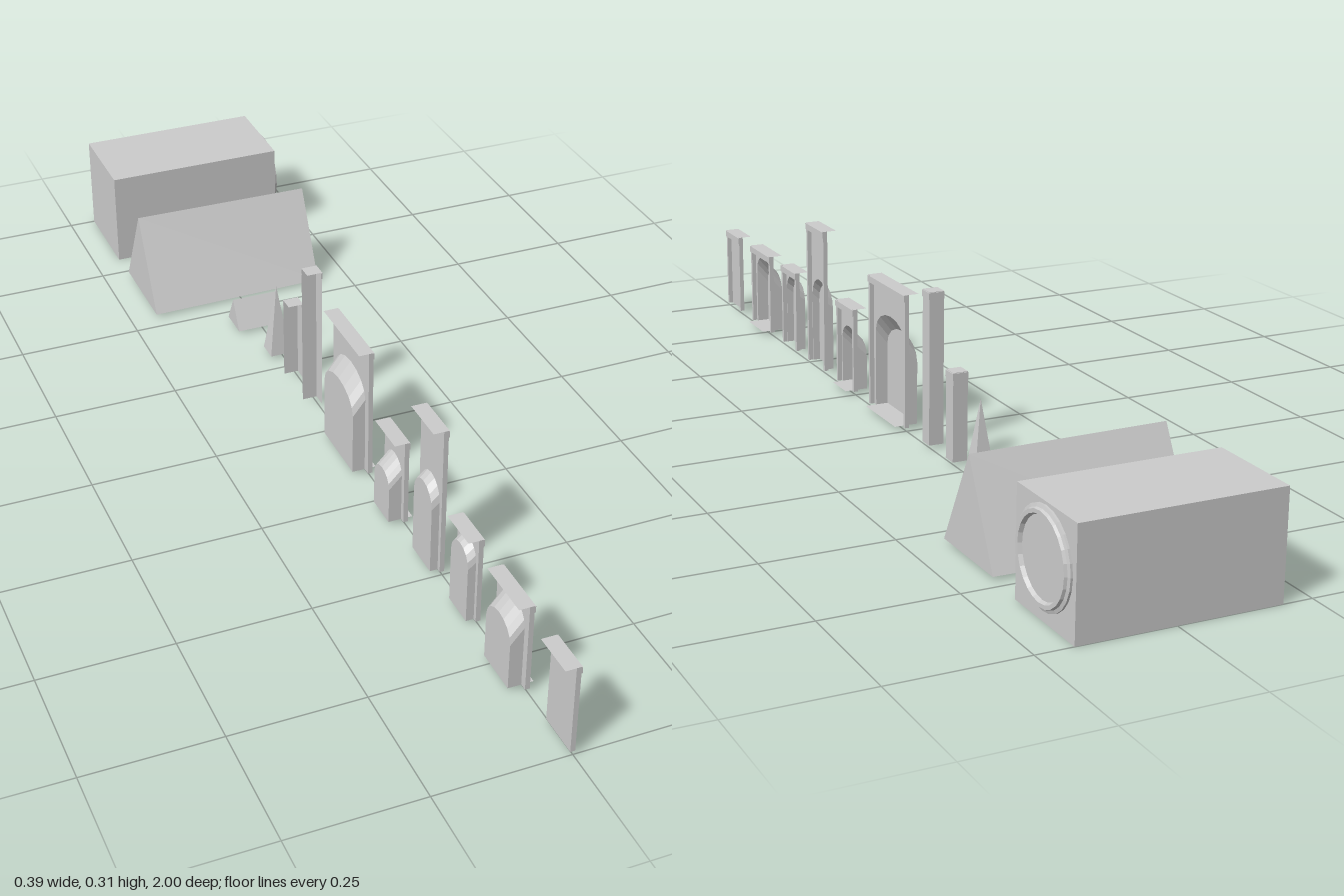
import * as THREE from 'three';

const BASE = 0.007; // height at which the thin modules start
const material = new THREE.MeshStandardMaterial({ color: 0xcccccc, flatShading: true, side: THREE.DoubleSide });

function add(parent, name, geometry, x = 0, y = 0, z = 0) {
  const mesh = new THREE.Mesh(geometry, material);
  mesh.name = name;
  mesh.position.set(x, y, z);
  parent.add(mesh);
  return mesh;
}

// Box given by its minimum and maximum corners
function block(parent, name, [x0, y0, z0], [x1, y1, z1]) {
  return add(parent, name, new THREE.BoxGeometry(x1 - x0, y1 - y0, z1 - z0),
    (x0 + x1) / 2, (y0 + y1) / 2, (z0 + z1) / 2);
}

// Flat shape of [z, y] points, facing +x
function facing(points) {
  const shape = new THREE.Shape(points.map(([z, y]) => new THREE.Vector2(-z, y)));
  return new THREE.ShapeGeometry(shape).rotateY(Math.PI / 2);
}

// Horizontal rectangle
function slab(parent, name, x0, x1, width, y) {
  return add(parent, name, new THREE.PlaneGeometry(x1 - x0, width).rotateX(-Math.PI / 2), (x0 + x1) / 2, y, 0);
}

// Surface between two open outlines of [z, y] points at two depths
function loft(a, xa, b, xb) {
  const positions = [];
  for (let i = 0; i + 1 < a.length; i++) {
    const p = [xa, a[i][1], a[i][0]], q = [xa, a[i + 1][1], a[i + 1][0]];
    const r = [xb, b[i + 1][1], b[i + 1][0]], s = [xb, b[i][1], b[i][0]];
    positions.push(...p, ...q, ...r, ...p, ...r, ...s);
  }
  const geometry = new THREE.BufferGeometry();
  geometry.setAttribute('position', new THREE.Float32BufferAttribute(positions, 3));
  geometry.computeVertexNormals();
  return geometry;
}

// Arch outline from the left foot over the crown to the right foot
function archOutline(half, spring, peak, segments = 8) {
  const points = [[half, BASE]];
  for (let i = 0; i <= segments; i++) {
    const t = (i / segments) * Math.PI;
    points.push([half * Math.cos(t), spring + (peak - spring) * Math.sin(t)]);
  }
  points.push([-half, BASE]);
  return points;
}

// Wall bay with side trims, cornice, top and an optional arched niche
function wallBay(name, z, width, height, arch) {
  const bay = new THREE.Group();
  bay.name = name;
  bay.position.z = z;
  const h = width / 2, wallX = -0.005;
  const corners = [[-h, BASE], [-h, height], [h, height], [h, BASE]];
  if (arch) {
    const { half, spring, peak, drop, back, sill } = arch;
    const front = archOutline(half, spring, peak);
    const rear = archOutline(half, spring - drop, peak - drop);
    add(bay, 'wall', facing([...corners, ...front]), wallX);
    add(bay, 'nicheReveal', loft(front, wallX, rear, back));
    add(bay, 'nicheBack', facing(rear), back);
    if (sill) slab(bay, 'sill', back, 0.018, half * 2, BASE);
  } else {
    add(bay, 'wall', facing(corners), wallX);
  }
  for (const side of [-1, 1]) {
    const a = side * h, b = side * (h - 0.007);
    block(bay, 'sideTrim', [wallX, BASE, Math.min(a, b)], [0.004, height, Math.max(a, b)]);
  }
  block(bay, 'cornice', [wallX, height - 0.014, -h], [0.006, height - 0.001, h]);
  slab(bay, 'wallTop', -0.025, 0.004, width, height);
  return bay;
}

// Corner strip: two faces at right angles, a small cornice and a top
function cornerPost(name, z, height) {
  const post = new THREE.Group();
  post.name = name;
  post.position.z = z;
  const w = 0.03, tall = height - BASE, y = (height + BASE) / 2;
  add(post, 'outerFace', new THREE.PlaneGeometry(w, tall).rotateY(Math.PI / 2), 0.004, y, 0);
  add(post, 'sideFace', new THREE.PlaneGeometry(w, tall).rotateY(Math.PI), -0.011, y, -w / 2);
  block(post, 'outerCornice', [0.002, height - 0.014, -w / 2], [0.006, height - 0.001, w / 2]);
  block(post, 'sideCornice', [-0.026, height - 0.014, -w / 2 - 0.002], [0.006, height - 0.001, -w / 2 + 0.001]);
  slab(post, 'postTop', -0.026, 0.004, w, height);
  return post;
}

// Gable roof, open below; the two ends can differ in width
function gable(name, z, x0, x1, half0, half1, height) {
  const roof = new THREE.Group();
  roof.name = name;
  roof.position.z = z;
  const end = (half, top) => [[half, BASE], [0, top], [-half, BASE]];
  const a = end(half0, height), b = end(half1, height - (half0 - half1) * 0.4);
  add(roof, 'slopes', loft(b, x1, a, x0));
  add(roof, 'rightGable', facing(a), x0);
  add(roof, 'leftGable', facing(b), x1);
  return roof;
}

// Long hall, open below, with a round window on one end
function hall() {
  const group = new THREE.Group();
  group.name = 'hall';
  group.position.z = -0.903;
  const x0 = -0.195, x1 = 0.181, h = 0.097, top = 0.2;
  const outline = [[h, 0], [h, top], [-h, top], [-h, 0]];
  add(group, 'shell', loft(outline, x1, outline, x0));
  add(group, 'rightEnd', facing(outline), x0);
  add(group, 'leftEnd', facing(outline), x1);
  const profile = [[0.087, 0], [0.087, 0.004], [0.081, 0.006], [0.079, 0.011], [0.072, 0.011], [0.069, 0.004], [0, 0.004]]
    .map(([r, y]) => new THREE.Vector2(r, y));
  add(group, 'roundWindow', new THREE.LatheGeometry(profile, 24).rotateZ(-Math.PI / 2), x1, 0.108, 0);
  return group;
}

export function createModel() {
  const model = new THREE.Group();
  model.name = 'buildingKit';

  // Wall bays
  model.add(
    wallBay('plainBay', 0.958, 0.084, 0.182),
    wallBay('wideArchBay', 0.78, 0.118, 0.182, { half: 0.045, spring: 0.128, peak: 0.166, drop: 0.03, back: -0.03, sill: true }),
    wallBay('narrowArchBay', 0.607, 0.084, 0.182, { half: 0.034, spring: 0.13, peak: 0.165, drop: 0.012, back: -0.02 }),
    wallBay('tallArchBay', 0.453, 0.094, 0.31, { half: 0.038, spring: 0.155, peak: 0.195, drop: 0.014, back: -0.02 }),
    wallBay('lowArchBay', 0.295, 0.09, 0.182, { half: 0.034, spring: 0.105, peak: 0.135, drop: 0.026, back: -0.03, sill: true }),
    wallBay('portalBay', 0.086, 0.174, 0.276, { half: 0.071, spring: 0.165, peak: 0.21, drop: 0.032, back: -0.03, sill: true }),
  );

  // Corner posts
  model.add(cornerPost('tallPost', -0.097, 0.31), cornerPost('shortPost', -0.2, 0.182));

  // Spire: four-sided pyramid, open below
  add(model, 'spire', new THREE.ConeGeometry(0.0305, 0.153, 4, 1, true).rotateY(Math.PI / 4), -0.006, BASE + 0.0765, -0.308);

  // Roofs and hall
  model.add(
    gable('smallRoof', -0.438, -0.055, 0.042, 0.033, 0.033, 0.066),
    gable('largeRoof', -0.635, -0.195, 0.18, 0.099, 0.091, 0.192),
    hall(),
  );
  return model;
}
